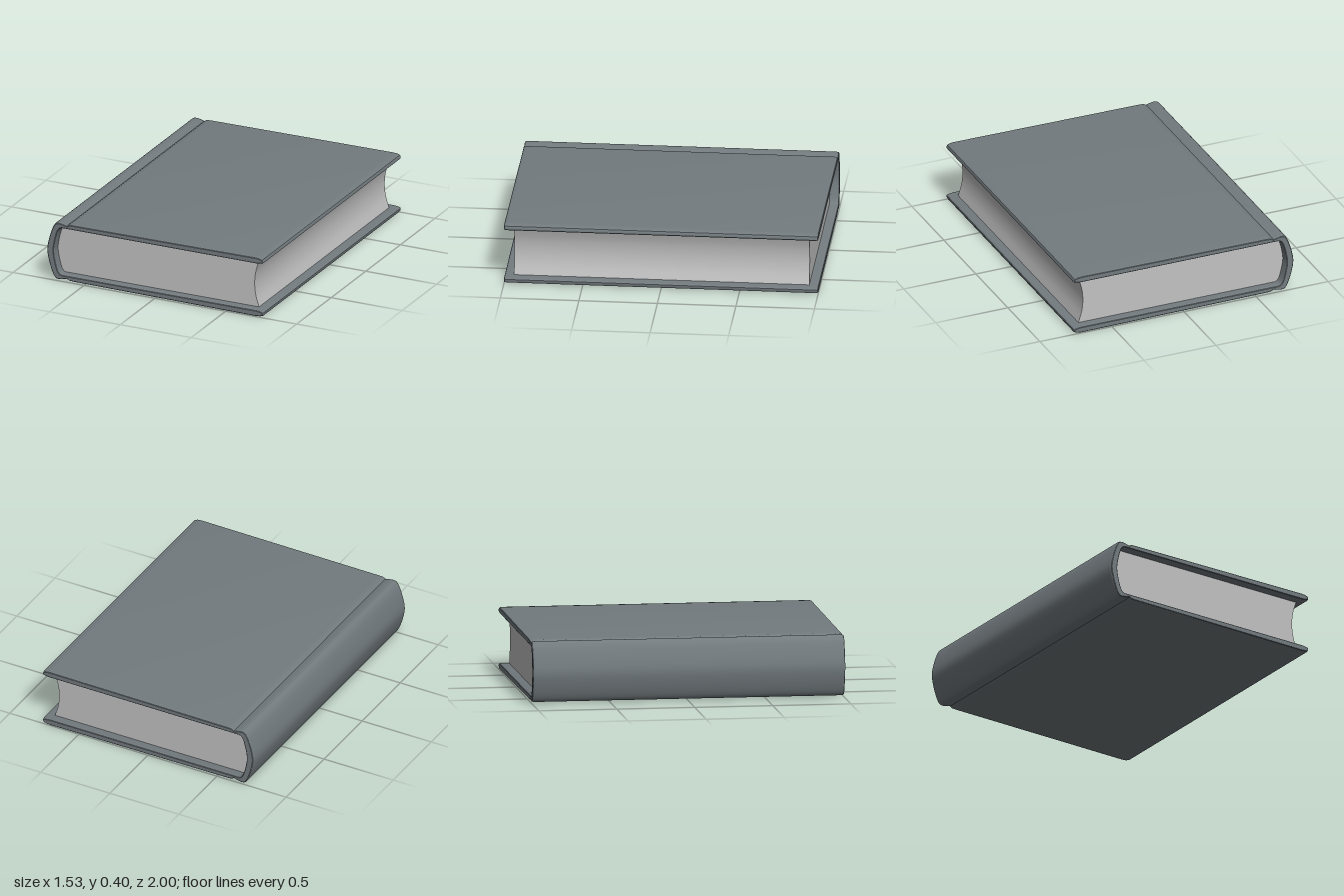
import * as THREE from 'three';
import { toCreasedNormals } from 'three/addons/utils/BufferGeometryUtils.js';

const MID = 0.202; // height of the book's plane of symmetry

// Smooth curve through half-profile points (x, height above the middle), mirrored below
function mirroredCurve(half, divisions) {
  const lower = half.slice(1).reverse().map(([x, h]) => new THREE.Vector2(x, MID - h));
  const upper = half.map(([x, h]) => new THREE.Vector2(x, MID + h));
  return new THREE.SplineCurve([...lower, ...upper]).getPoints(divisions);
}

// Extrude a closed outline along z, centred, with an optional eased end
function extrude(points, length, easeDepth, easeSize) {
  const geometry = new THREE.ExtrudeGeometry(new THREE.Shape(points), {
    depth: length - 2 * easeDepth,
    bevelEnabled: easeDepth > 0,
    bevelThickness: easeDepth,
    bevelSize: easeSize,
    bevelOffset: -easeSize,
    bevelSegments: 3,
  });
  geometry.translate(0, 0, -length / 2 + easeDepth);
  return toCreasedNormals(geometry, 0.5);
}

export function createModel() {
  const coverCloth = new THREE.MeshStandardMaterial({ color: 0x737b7f });
  coverCloth.name = 'coverCloth';
  const paper = new THREE.MeshStandardMaterial({ color: 0xc2c2c2 });
  paper.name = 'paper';

  // Rounded spine, outside and inside
  const spineOuter = mirroredCurve(
    [[-0.763, 0], [-0.752, 0.07], [-0.728, 0.145], [-0.705, 0.185], [-0.68, 0.194], [-0.65, 0.19]], 40);
  const spineInner = mirroredCurve(
    [[-0.712, 0], [-0.704, 0.06], [-0.688, 0.122], [-0.672, 0.151], [-0.655, 0.158]], 32);

  // Board: hinge groove, outer face, softened fore edge, inner face
  const board = [
    [-0.622, 0.182], [-0.606, 0.192], [-0.58, 0.194], [0.71, 0.202], [0.74, 0.199],
    [0.758, 0.192], [0.763, 0.182], [0.763, 0.17], [0.756, 0.164], [0.72, 0.158],
  ];
  const upperBoard = board.map(([x, h]) => new THREE.Vector2(x, MID + h));
  const lowerBoard = board.map(([x, h]) => new THREE.Vector2(x, MID - h)).reverse();

  const cover = new THREE.Mesh(
    extrude([...spineOuter, ...upperBoard, ...spineInner.slice().reverse(), ...lowerBoard], 2, 0.02, 0.007),
    coverCloth);
  cover.name = 'cover';

  // Page block: rounded back set against the spine, hollow fore edge
  const foreEdge = mirroredCurve([[0.675, 0], [0.683, 0.08], [0.706, 0.158]], 20);
  const pages = new THREE.Mesh(
    extrude([...spineInner, ...foreEdge.slice().reverse()], 1.88, 0, 0), paper);
  pages.name = 'pages';

  const book = new THREE.Group();
  book.name = 'book';
  book.add(cover, pages);
  return book;
}
